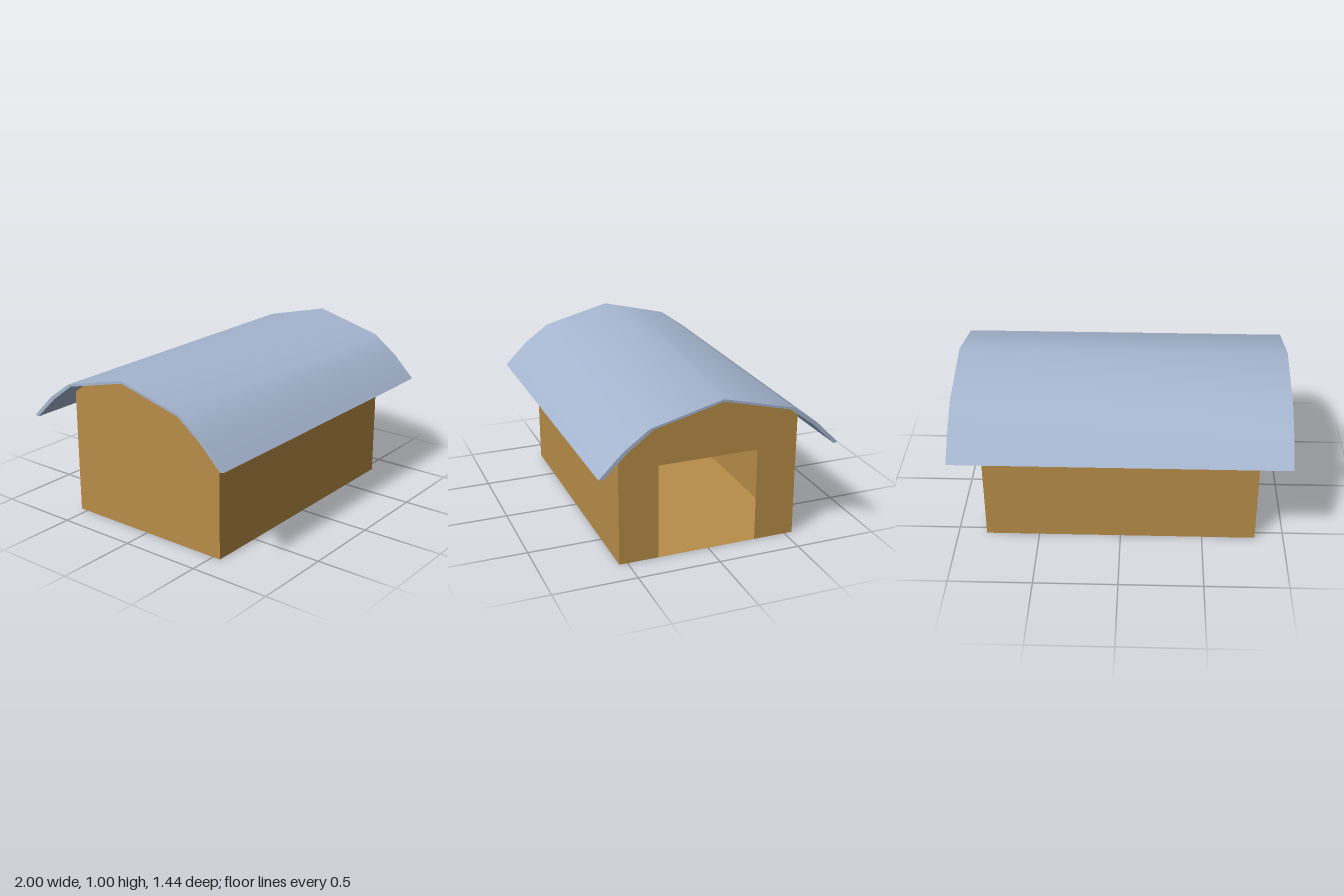
import * as THREE from 'three';

// Half profiles as [z, y], from the ridge down to the eave
const OUTER = [[0, 0.995], [0.425, 0.887], [0.58, 0.775], [0.72, 0.635]];
const INNER = [[0, 0.98], [0.405, 0.878], [0.55, 0.77], [0.695, 0.63]];
const WALL_X = 0.825, WALL_Z = 0.55, ROOF_X = 1;

// Mirrors a half profile into a full one running from -z to +z
const full = (half) => [...half.slice(1).reverse().map(([z, y]) => [-z, y]), ...half];

// Surface swept along x through [z, y] points, smooth across the bends
function strip(points, halfLength) {
  const pos = [], index = [];
  points.forEach(([z, y], i) => {
    pos.push(-halfLength, y, z, halfLength, y, z);
    if (i > 0) {
      const a = 2 * (i - 1), b = 2 * i;
      index.push(a, b, b + 1, a, b + 1, a + 1);
    }
  });
  const geo = new THREE.BufferGeometry();
  geo.setAttribute('position', new THREE.Float32BufferAttribute(pos, 3));
  geo.setIndex(index);
  geo.computeVertexNormals();
  return geo;
}

// Flat end face standing at x, facing outwards
function endFace(points, x) {
  const side = Math.sign(x);
  const shape = new THREE.Shape(points.map(([z, y]) => new THREE.Vector2(-side * z, y)));
  return new THREE.ShapeGeometry(shape).rotateY(side * Math.PI / 2).translate(x, 0, 0);
}

export function createModel() {
  const wood = new THREE.MeshStandardMaterial({ color: 0xb88d48, side: THREE.DoubleSide });
  wood.name = 'wood';
  const metal = new THREE.MeshStandardMaterial({ color: 0xa6b6d0 });
  metal.name = 'roofMetal';

  const model = new THREE.Group();
  model.name = 'barn';
  const walls = new THREE.Group();
  walls.name = 'walls';
  const roof = new THREE.Group();
  roof.name = 'roof';
  model.add(walls, roof);

  const add = (parent, name, geometry, material) => {
    const mesh = new THREE.Mesh(geometry, material);
    mesh.name = name;
    parent.add(mesh);
  };

  // Thin floor and long side walls
  add(walls, 'floor', strip([[-WALL_Z, 0], [WALL_Z, 0]], WALL_X), wood);
  add(walls, 'frontWall', strip([[WALL_Z, 0.77], [WALL_Z, 0]], WALL_X), wood);
  add(walls, 'backWall', strip([[-WALL_Z, 0], [-WALL_Z, 0.77]], WALL_X), wood);

  // Gable ends: one closed, one with an open doorway
  const gable = full(INNER.slice(0, 3));
  const closed = [[-WALL_Z, 0], ...gable, [WALL_Z, 0]];
  const doorway = [[0.31, 0], [0.31, 0.58], [-0.3, 0.58], [-0.3, 0]];
  add(walls, 'closedGable', endFace(closed, -WALL_X), wood);
  add(walls, 'doorGable', endFace([...closed, ...doorway], WALL_X), wood);

  // Curved roof shell with sharp eaves and ends
  const outer = full(OUTER), inner = full(INNER).reverse();
  add(roof, 'roofTop', strip(outer, ROOF_X), metal);
  add(roof, 'roofUnderside', strip(inner, ROOF_X), metal);
  add(roof, 'frontEave', strip([outer[6], inner[0]], ROOF_X), metal);
  add(roof, 'backEave', strip([inner[6], outer[0]], ROOF_X), metal);
  for (const x of [-ROOF_X, ROOF_X]) {
    add(roof, x > 0 ? 'leftRoofEnd' : 'rightRoofEnd', endFace([...outer, ...inner], x), metal);
  }

  return model;
}
